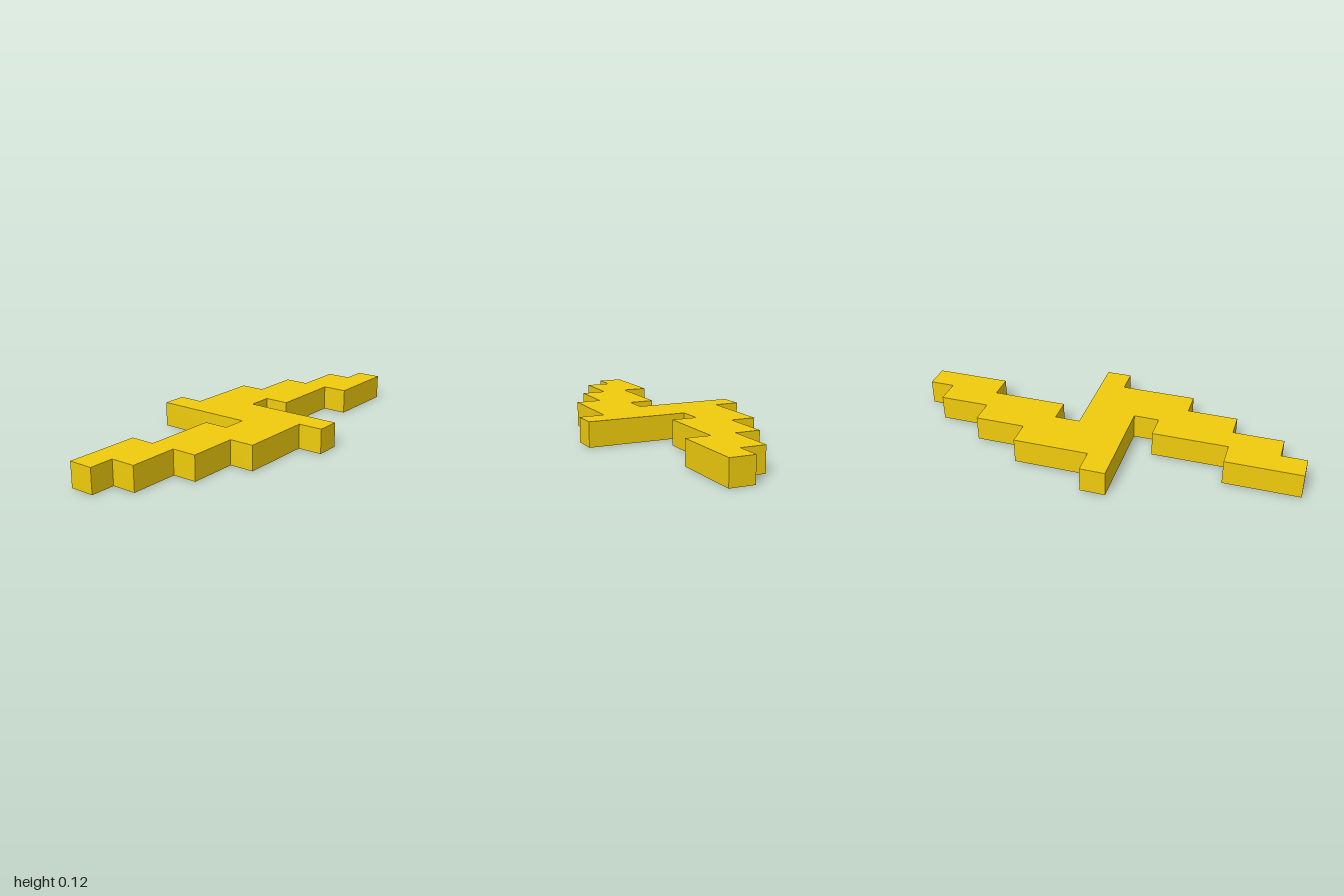
import * as THREE from 'three';

const UNIT = 0.125; // one grid cell, also the thickness

export function createModel() {
  const group = new THREE.Group();
  group.name = 'steppedPlate';

  // Half of the stepped outline in grid cells (x, z), from the back bar round the left wing
  const half = [
    [-1, -3.5], [0, -3.5], [0, -2.5], [3, -2.5], [3, -1.5], [5, -1.5], [5, -0.5], [7, -0.5],
    [7, 0.5], [8, 0.5], [8, 1.5], [5, 1.5], [5, 0.5], [2, 0.5], [2, -0.5], [1, -0.5],
  ];
  // The other half is the same outline turned by 180 degrees
  const outline = [...half, ...half.map(([x, z]) => [-x, -z])];
  const shape = new THREE.Shape(outline.map(([x, z]) => new THREE.Vector2(x * UNIT, -z * UNIT)));

  // Extrude, then lay flat on the ground
  const geometry = new THREE.ExtrudeGeometry(shape, { depth: UNIT, bevelEnabled: false });
  geometry.rotateX(-Math.PI / 2);

  const plate = new THREE.Mesh(geometry, new THREE.MeshStandardMaterial({ color: 0xf0cc0c }));
  plate.name = 'plate';
  group.add(plate);
  return group;
}
